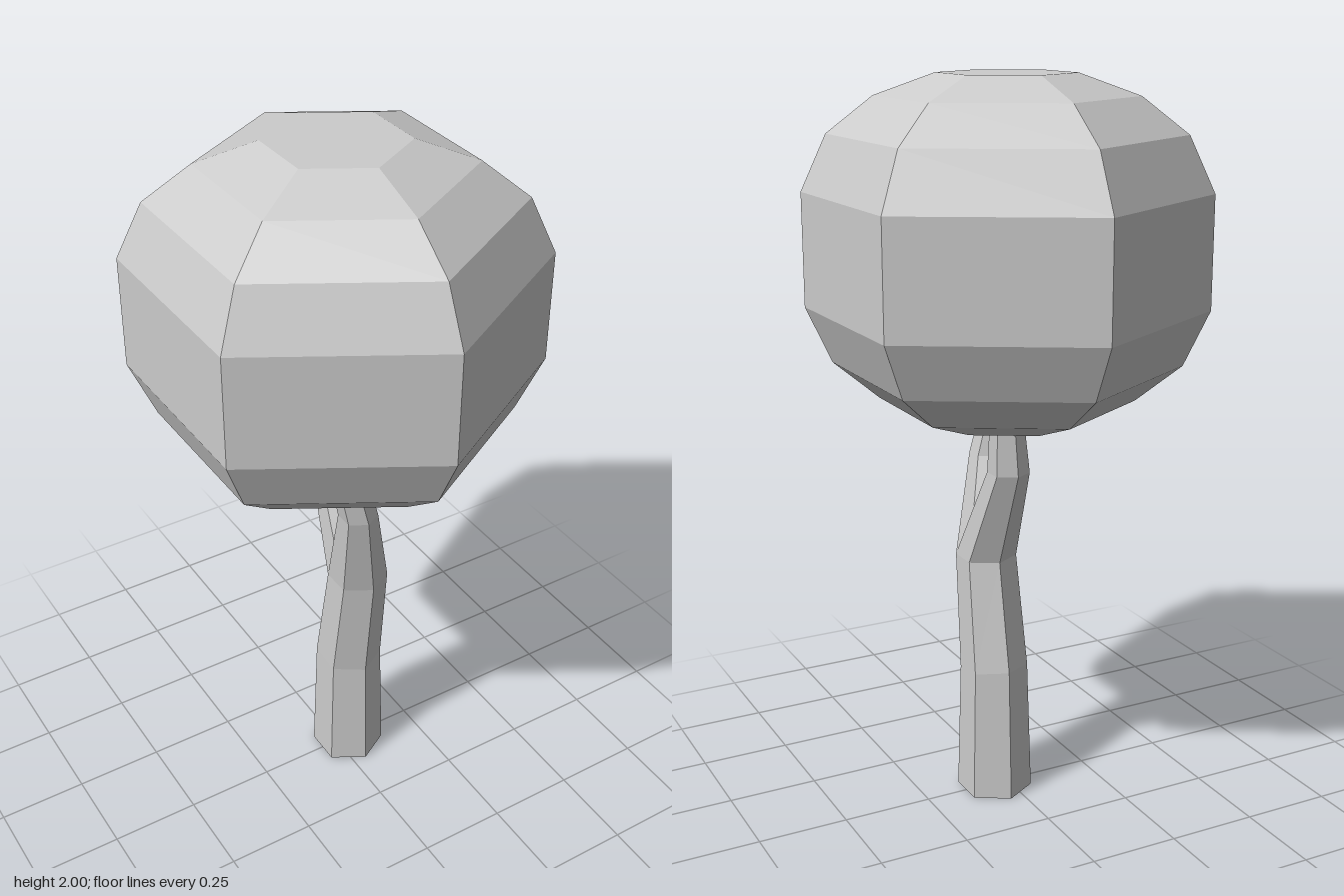
import * as THREE from 'three';

const SIDES = 6;
const material = new THREE.MeshStandardMaterial({ color: 0xcccccc, flatShading: true });

// Tapered limb lofted through six-sided rings: [x, y, z, radius, tilt]
function limb(name, rings) {
  const positions = [], index = [];
  for (const [x, y, z, r, tilt = 0] of rings) {
    for (let i = 0; i < SIDES; i++) {
      const a = (i / SIDES) * Math.PI * 2;
      const dz = r * Math.cos(a);
      positions.push(x + r * Math.sin(a), y - tilt * dz, z + dz);
    }
  }
  for (let k = 0; k < rings.length - 1; k++) {
    for (let i = 0; i < SIDES; i++) {
      const a = k * SIDES + i, b = k * SIDES + (i + 1) % SIDES;
      index.push(a, b, b + SIDES, a, b + SIDES, a + SIDES);
    }
  }
  // End caps
  const last = (rings.length - 1) * SIDES;
  for (let i = 1; i < SIDES - 1; i++) {
    index.push(0, i + 1, i, last, last + i, last + i + 1);
  }
  const geometry = new THREE.BufferGeometry();
  geometry.setAttribute('position', new THREE.Float32BufferAttribute(positions, 3));
  geometry.setIndex(index);
  geometry.computeVertexNormals();
  const mesh = new THREE.Mesh(geometry, material);
  mesh.name = name;
  return mesh;
}

export function createModel() {
  const tree = new THREE.Group();
  tree.name = 'tree';

  // Trunk leaning forward up to the fork
  const fork = [0.042, 0.69, 0.045, 0.084];
  tree.add(limb('trunk', [[0.04, 0, 0, 0.105], [0.04, 0.37, 0.002, 0.094, 0.12], fork]));

  // Two branches growing out of the fork into the crown
  tree.add(limb('frontBranch', [fork, [-0.002, 0.965, 0.113, 0.054], [-0.03, 1.09, 0.11, 0.049], [-0.05, 1.2, 0.107, 0.045]]));
  tree.add(limb('backBranch', [fork, [0.04, 0.965, -0.087, 0.057], [0.048, 1.09, -0.095, 0.047], [0.053, 1.2, -0.1, 0.045]]));

  // Rounded six-sided crown with flat top and bottom
  const half = [[0.54, 0.153], [0.47, 0.303], [0.345, 0.4], [0.183, 0.458], [0, 0.458]];
  const profile = [
    ...half.map(([r, h]) => new THREE.Vector2(r, -h)).reverse(),
    ...half.map(([r, h]) => new THREE.Vector2(r, h)),
  ];
  const crown = new THREE.Mesh(new THREE.LatheGeometry(profile, SIDES), material);
  crown.name = 'crown';
  crown.position.y = 1.542;
  tree.add(crown);

  return tree;
}
